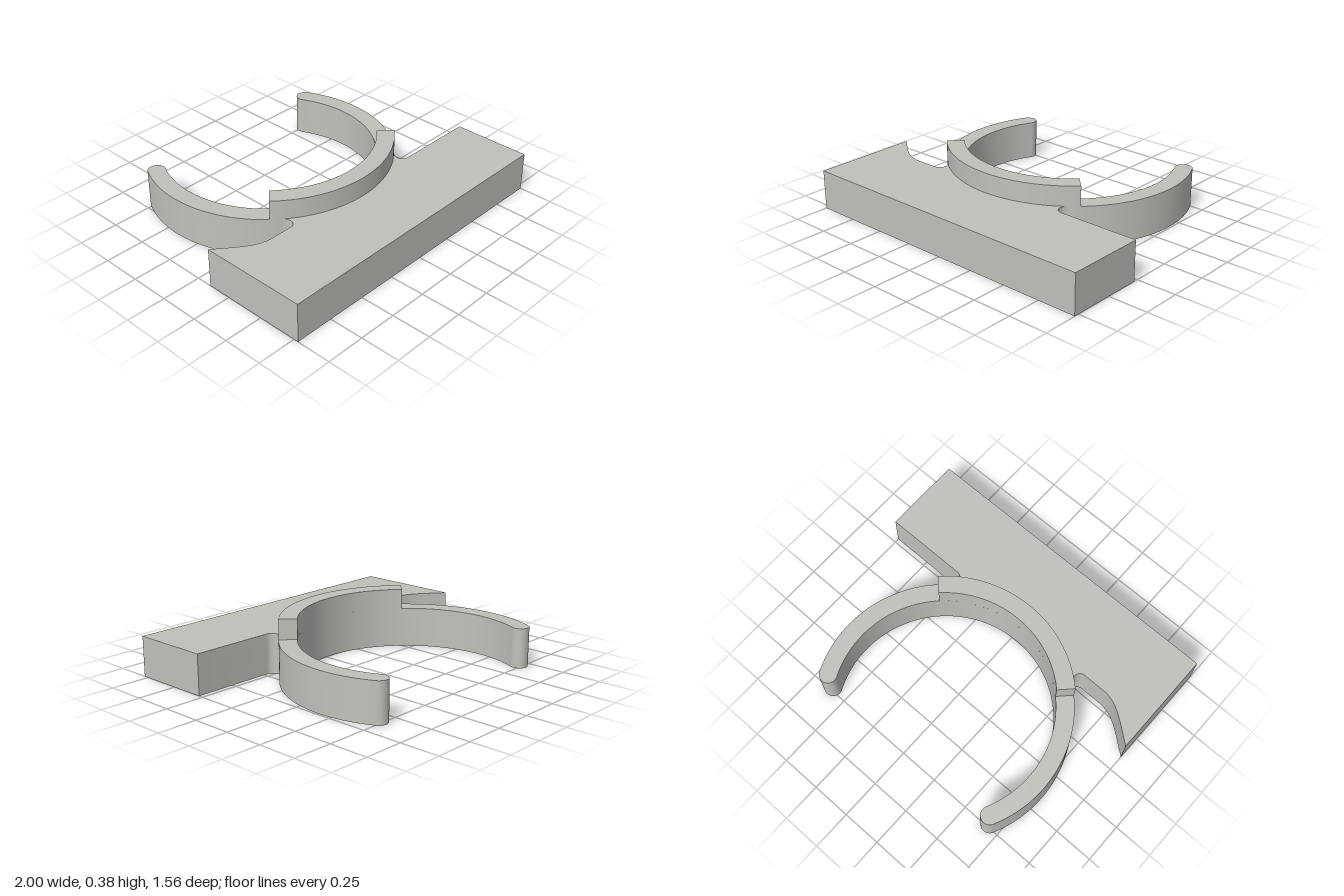
import * as THREE from 'three';
import { toCreasedNormals } from 'three/addons/utils/BufferGeometryUtils.js';

const rad = THREE.MathUtils.degToRad;
const CX = -0.033, CY = 0.411;        // ring centre (shape y is -z)
const OUTER = 0.772, INNER = 0.662;
const MID = (OUTER + INNER) / 2, TIP = (OUTER - INNER) / 2;

// Extrude a plan outline upwards from a given height
function slab(shape, y, height, material, name) {
  const geo = new THREE.ExtrudeGeometry(shape, { depth: height, bevelEnabled: false, curveSegments: 48 });
  geo.rotateX(-Math.PI / 2);
  geo.translate(0, y, 0);
  const mesh = new THREE.Mesh(toCreasedNormals(geo, 0.5), material);
  mesh.name = name;
  return mesh;
}

export function createModel() {
  const group = new THREE.Group();
  group.name = 'clipBracket';
  const grey = new THREE.MeshStandardMaterial({ color: 0xc0c0bb });
  grey.name = 'warm grey';

  const arc = (s, x, y, r, a, b, cw) => s.absarc(x, y, r, rad(a), rad(b), cw);
  const tipAngle = 26.4, rootAngle = 51.3;
  const tipX = MID * Math.cos(rad(tipAngle)), tipY = CY + MID * Math.sin(rad(tipAngle));
  const notchX = 0.511, notchY = -0.232, notchR = 0.046;

  // Base block and open ring in one outline
  const body = new THREE.Shape();
  body.moveTo(-1, -0.78);
  body.lineTo(1, -0.78);
  body.lineTo(1, -0.278);
  arc(body, CX + notchX, notchY, notchR, 270, 150, true);              // right notch
  arc(body, CX, CY, OUTER, -rootAngle, tipAngle, false);               // right arm, outside
  arc(body, CX + tipX, tipY, TIP, tipAngle, tipAngle + 180, false);    // right rounded tip
  arc(body, CX, CY, INNER, tipAngle, -180 - tipAngle, true);           // inside of ring
  arc(body, CX - tipX, tipY, TIP, -tipAngle, 180 - tipAngle, false);   // left rounded tip
  arc(body, CX, CY, OUTER, 180 - tipAngle, 180 + rootAngle, false);    // left arm, outside
  arc(body, CX - notchX, notchY, notchR, 30, -90, true);               // left notch
  body.lineTo(-0.68, -0.278);
  body.bezierCurveTo(-0.8, -0.278, -0.87, -0.2, -1, -0.1);             // curved shoulder
  body.closePath();
  group.add(slab(body, 0, 0.25, grey, 'baseAndClipArms'));

  // Raised rim along the seat of the ring
  const rim = new THREE.Shape();
  arc(rim, CX, CY, OUTER, -134.5, -45.5, false);
  arc(rim, CX, CY, INNER, -45.5, -134.5, true);
  rim.closePath();
  group.add(slab(rim, 0.25, 0.125, grey, 'raisedRim'));

  return group;
}
